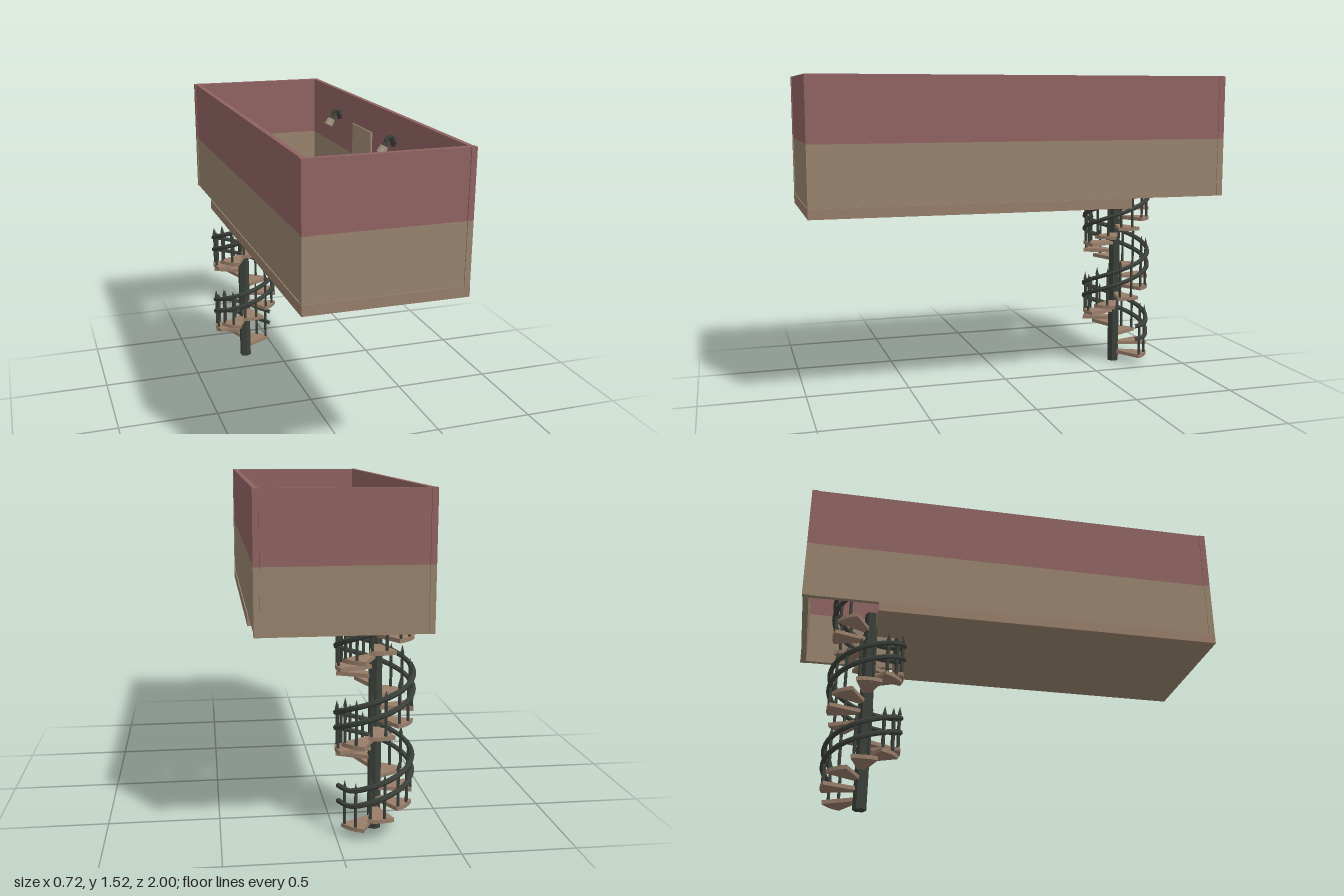
import * as THREE from 'three';

const mat = (name, color) => {
  const m = new THREE.MeshStandardMaterial({ color });
  m.name = name;
  return m;
};

export function createModel() {
  const root = new THREE.Group();
  root.name = 'hallwayWithSpiralStair';
  const pink = mat('dustyPinkPaint', 0x8f6362);
  const tan = mat('tanPaint', 0x97836d);
  const doorTan = mat('doorTan', 0xa08b73);
  const wood = mat('brownWood', 0x977d69);
  const red = mat('carpetRed', 0x8c4447);
  const iron = mat('darkIron', 0x3b403a);
  const glass = mat('blueGlass', 0x7fa8ce);
  const clay = mat('vasePink', 0x966663);
  const shadeMat = mat('lampShade', 0xa39482);
  [iron, clay, shadeMat].forEach((m) => { m.flatShading = true; });

  const add = (parent, name, geo, material, x = 0, y = 0, z = 0) => {
    const m = new THREE.Mesh(geo, material);
    m.name = name;
    m.position.set(x, y, z);
    parent.add(m);
    return m;
  };
  const group = (name, parent = root) => {
    const g = new THREE.Group();
    g.name = name;
    parent.add(g);
    return g;
  };
  const box = (w, h, d) => new THREE.BoxGeometry(w, h, d);
  // Flat outline in x and z, extruded upward
  const slab = (pts, h) => {
    const shape = new THREE.Shape(pts.map(([x, z]) => new THREE.Vector2(x, -z)));
    return new THREE.ExtrudeGeometry(shape, { depth: h, bevelEnabled: false }).rotateX(-Math.PI / 2);
  };

  // Floor with a notch for the stairwell and a wooden edge
  add(root, 'floor', slab([[-0.362, 1], [0.362, 1], [0.362, -0.52], [-0.1, -0.52],
    [-0.1, -0.65], [-0.362, -0.65]], 0.047), [tan, wood], 0, 0.9, 0);
  add(root, 'carpet', box(0.4, 0.006, 1.26), red, 0, 0.95, 0.23);

  // Walls in two painted bands, slightly recessed between corner posts
  const bands = [['lower', tan, 0.947, 1.225], ['upper', pink, 1.225, 1.525]];
  for (const [label, material, y0, y1] of bands) {
    const h = y1 - y0, y = (y0 + y1) / 2;
    for (const s of [-1, 1]) {
      add(root, `${label}SideWall`, box(0.022, h, 1.94), material, s * 0.346, y, 0);
      add(root, `${label}EndWall`, box(0.67, h, 0.026), material, 0, y, s * 0.983);
      for (const t of [-1, 1]) {
        add(root, `${label}CornerPost`, box(0.025, h, 0.03), material, s * 0.3485, y, t * 0.985);
      }
    }
  }

  // Doors and wall lamps on both long walls
  for (const s of [-1, 1]) {
    for (const [zc, handleZ] of [[-0.18, -0.13], [0.63, 0.55]]) {
      const door = group('door');
      add(door, 'doorPanel', box(0.009, 0.44, 0.26), doorTan, s * 0.331, 1.167, zc);
      add(door, 'handleStem', box(0.022, 0.014, 0.014), iron, s * 0.316, 1.155, handleZ);
      add(door, 'handleLever', box(0.009, 0.013, 0.08), iron, s * 0.307, 1.155, handleZ);
    }
    for (const z of [-0.52, 0.23]) {
      const lamp = group('wallLamp');
      lamp.position.set(s * 0.336, 1.4, z);
      lamp.rotation.y = s > 0 ? Math.PI : 0;
      add(lamp, 'mount', new THREE.CylinderGeometry(0.028, 0.028, 0.014, 8).rotateZ(Math.PI / 2), iron, 0.007);
      const arm = new THREE.CatmullRomCurve3([[0, 0, 0], [0.022, 0.02, 0], [0.04, 0.01, 0], [0.043, -0.01, 0]]
        .map((p) => new THREE.Vector3(...p)));
      add(lamp, 'arm', new THREE.TubeGeometry(arm, 8, 0.01, 6), iron);
      const head = group('lampHead', lamp);
      head.position.set(0.043, -0.008, 0);
      head.rotation.z = 0.5;
      add(head, 'cap', new THREE.CylinderGeometry(0.012, 0.02, 0.018, 8), iron, 0, -0.006);
      add(head, 'shade', new THREE.CylinderGeometry(0.02, 0.025, 0.038, 8), shadeMat, 0, -0.034);
    }
  }

  // Octagonal window on the inside of the front wall
  const win = group('window');
  win.position.set(0, 1.28, 0.962);
  const octagon = (r) => Array.from({ length: 8 }, (_, i) => {
    const a = Math.PI / 8 + i * Math.PI / 4;
    return new THREE.Vector2(Math.cos(a) * r, Math.sin(a) * r);
  });
  const frame = new THREE.Shape(octagon(0.104));
  frame.holes.push(new THREE.Path(octagon(0.092)));
  add(win, 'windowFrame', new THREE.ExtrudeGeometry(frame, { depth: 0.02, bevelEnabled: false }), tan, 0, 0, -0.012);
  add(win, 'windowPane', new THREE.ExtrudeGeometry(new THREE.Shape(octagon(0.094)),
    { depth: 0.006, bevelEnabled: false }), glass);
  add(win, 'uprightBar', box(0.008, 0.17, 0.01), tan, 0, 0, -0.002);
  add(win, 'crossBar', box(0.17, 0.008, 0.01), tan, 0, 0, -0.002);

  // Six-sided vases in the corners
  const profile = [[0, 0], [0.036, 0], [0.04, 0.02], [0.043, 0.15], [0.041, 0.165], [0.027, 0.182],
    [0.027, 0.19], [0.033, 0.195], [0.033, 0.21], [0.022, 0.21], [0.02, 0.18], [0, 0.178]]
    .map(([r, y]) => new THREE.Vector2(r, y));
  [[-0.295, -0.37], [0.265, -0.445], [-0.26, 0.875], [0.28, 0.905]].forEach(([x, z], i) => {
    add(root, 'vase', new THREE.LatheGeometry(profile, 6), clay, x, 0.947, z).rotation.y = i * 0.4;
  });

  // Pointed baluster shared by the stair and the landing rail
  const baluster = (parent, x, y, z, h) => {
    add(parent, 'baluster', new THREE.CylinderGeometry(0.007, 0.007, h, 6), iron, x, y + h / 2, z);
    add(parent, 'balusterTip', new THREE.ConeGeometry(0.01, 0.04, 6), iron, x, y + h + 0.02, z);
  };

  // Spiral stair, eight steps to a turn
  const stair = group('spiralStair');
  stair.position.set(-0.178, 0, -0.675);
  add(stair, 'centrePole', new THREE.CylinderGeometry(0.031, 0.031, 0.97, 6), iron, -0.005, 0.485, 0.005);
  const rise = 0.04625, turn = Math.PI / 4, radius = 0.168, firstY = 0.05, firstAngle = 0.82;
  const wedge = [[0.015, 0.014], ...[-1, -0.5, 0, 0.5, 1].map((t) => {
    const a = t * 0.35;
    return [Math.cos(a) * 0.172, -Math.sin(a) * 0.172];
  }), [0.015, -0.014]];
  const stepGeo = slab(wedge, 0.018);
  for (let i = 0; i < 19; i++) {
    const y = firstY + i * rise;
    const a = firstAngle + i * turn;
    add(stair, 'step', stepGeo, wood, 0, y - 0.009, 0).rotation.y = a;
    for (const t of [-0.28, 0.1]) {
      baluster(stair, Math.cos(a + t) * 0.163, y, -Math.sin(a + t) * 0.163, 0.17);
    }
  }
  // Handrails run level over the first step, then climb
  for (const lift of [0.1, 0.17]) {
    const pts = [];
    for (let i = 0; i <= 60; i++) {
      const a = 0.25 + (i / 60) * (firstAngle + 18.5 * turn - 0.25);
      const y = firstY + Math.max(0, (a - firstAngle) / turn) * rise + lift;
      pts.push(new THREE.Vector3(Math.cos(a) * radius, y, -Math.sin(a) * radius));
    }
    add(stair, 'handrail', new THREE.TubeGeometry(new THREE.CatmullRomCurve3(pts), 120, 0.012, 6), iron);
  }

  // Railing along the stairwell edge
  const landing = group('landingRailing');
  add(landing, 'landingRail', box(0.435, 0.014, 0.012), iron, 0.1175, 1.05, -0.515);
  for (let i = 0; i <= 9; i++) baluster(landing, -0.095 + i * 0.046, 0.947, -0.515, 0.13);

  return root;
}
